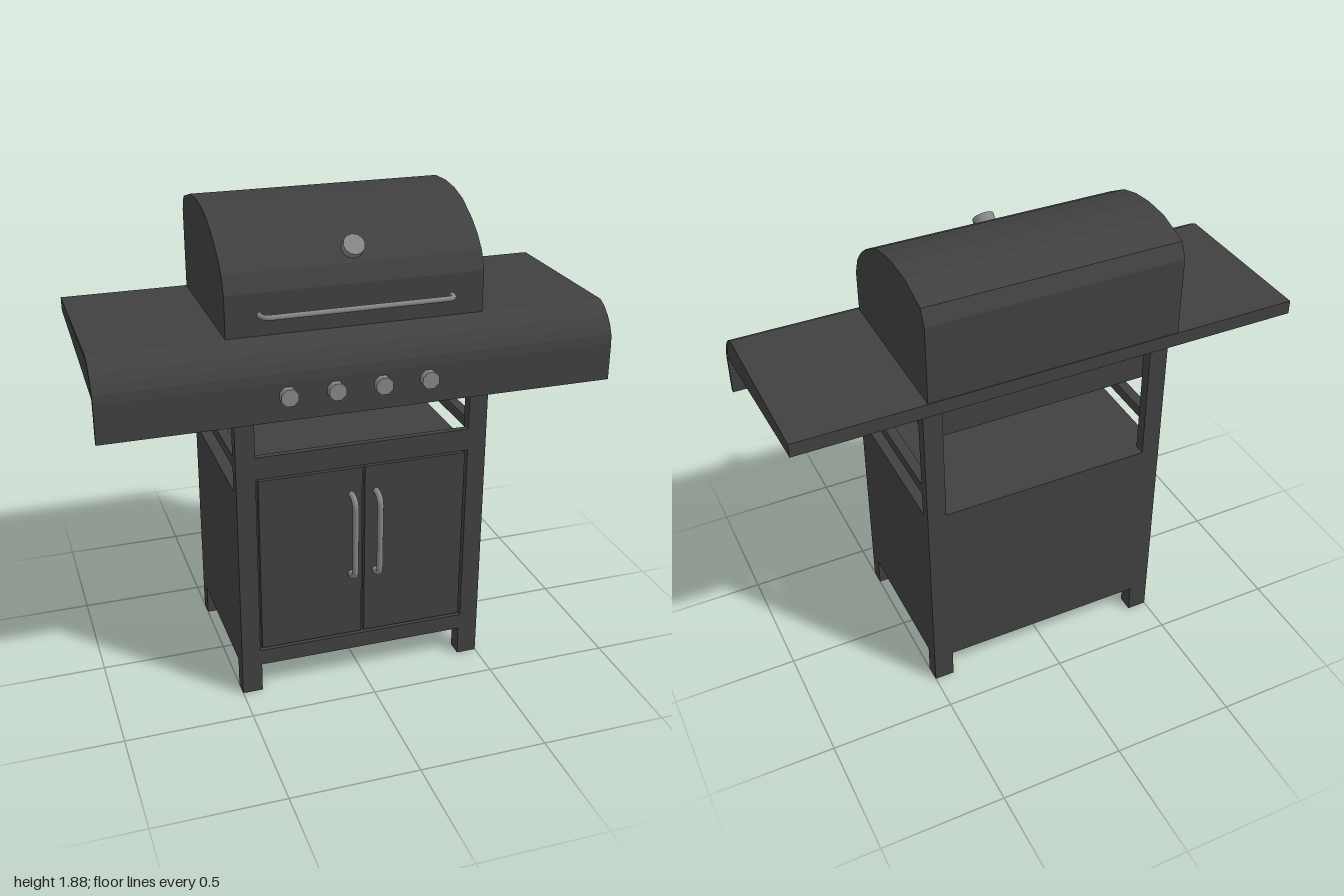
import * as THREE from 'three';
import { toCreasedNormals } from 'three/addons/utils/BufferGeometryUtils.js';

export function createModel() {
  const model = new THREE.Group();
  model.name = 'gasGrill';
  const dark = new THREE.MeshStandardMaterial({ color: 0x404040 });
  dark.name = 'charcoal enamel';
  const steel = new THREE.MeshStandardMaterial({ color: 0x878787 });
  steel.name = 'grey steel';

  function add(name, geometry, material = dark) {
    const mesh = new THREE.Mesh(geometry, material);
    mesh.name = name;
    model.add(mesh);
    return mesh;
  }
  // Box given by its limits on each axis
  function box(name, x0, x1, y0, y1, z0, z1) {
    const g = new THREE.BoxGeometry(x1 - x0, y1 - y0, z1 - z0);
    g.translate((x0 + x1) / 2, (y0 + y1) / 2, (z0 + z1) / 2);
    return add(name, g);
  }
  // Side profile of [z, y] points extruded along x from x0 to x1
  function profile(name, points, x0, x1) {
    const shape = new THREE.Shape(points.map(([z, y]) => new THREE.Vector2(z, y)));
    const g = new THREE.ExtrudeGeometry(shape, { depth: x1 - x0, bevelEnabled: false });
    g.rotateY(-Math.PI / 2).translate(x1, 0, 0);
    return add(name, toCreasedNormals(g, 0.1));
  }
  // Bent bar through straight segments with rounded corners
  function bar(name, a, b, c, d, radius, bend) {
    const [A, B, C, D] = [a, b, c, d].map((p) => new THREE.Vector3(...p));
    const toward = (p, q) => p.clone().add(q.clone().sub(p).setLength(bend));
    const path = new THREE.CurvePath();
    const b0 = toward(B, A), b1 = toward(B, C), c0 = toward(C, B), c1 = toward(C, D);
    path.add(new THREE.LineCurve3(A, b0));
    path.add(new THREE.QuadraticBezierCurve3(b0, B, b1));
    path.add(new THREE.LineCurve3(b1, c0));
    path.add(new THREE.QuadraticBezierCurve3(c0, C, c1));
    path.add(new THREE.LineCurve3(c1, D));
    add(name, new THREE.TubeGeometry(path, 60, radius, 8, false), steel);
  }

  // Legs, upper posts and side rails
  for (const s of [-1, 1]) {
    const span = (a, b) => (s > 0 ? [a, b] : [-b, -a]);
    box('frontLeg', ...span(0.42, 0.5), 0, 0.12, 0.28, 0.345);
    box('backLeg', ...span(0.42, 0.5), 0, 0.12, -0.35, -0.285);
    box('frontPost', ...span(0.425, 0.5), 1.02, 1.22, 0.3, 0.345);
    box('frontPostSide', ...span(0.425, 0.5), 0.88, 1.02, 0.3, 0.32);
    box('backPost', ...span(0.425, 0.5), 0.88, 1.45, -0.35, -0.305);
    box('sideRail', ...span(0.46, 0.5), 0.98, 1.025, -0.305, 0.32);
  }

  // Cabinet body and its front frame around the doors
  box('cabinet', -0.5, 0.5, 0.12, 0.88, -0.35, 0.32);
  const frame = new THREE.Shape();
  frame.moveTo(-0.5, 0.12).lineTo(0.5, 0.12).lineTo(0.5, 1.025).lineTo(-0.5, 1.025);
  const opening = new THREE.Path();
  opening.moveTo(-0.425, 0.185).lineTo(-0.425, 0.935).lineTo(0.425, 0.935).lineTo(0.425, 0.185);
  frame.holes.push(opening);
  const frameGeo = new THREE.ExtrudeGeometry(frame, { depth: 0.025, bevelEnabled: false });
  add('cabinetFrame', frameGeo.translate(0, 0, 0.32));

  // Doors with upright handles
  for (const s of [-1, 1]) {
    const [x0, x1] = s > 0 ? [0.006, 0.415] : [-0.415, -0.006];
    box('door', x0, x1, 0.195, 0.925, 0.318, 0.342);
    const x = s * 0.05;
    bar('doorHandle', [x, 0.47, 0.335], [x, 0.47, 0.397], [x, 0.817, 0.397], [x, 0.817, 0.335], 0.013, 0.045);
  }

  // Folded worktop: top sheet, rounded front apron and back lip
  profile('worktop', [
    [-0.41, 1.41], [-0.41, 1.465], [0.26, 1.465], [0.295, 1.447], [0.325, 1.42],
    [0.35, 1.388], [0.365, 1.355], [0.37, 1.32], [0.37, 1.17], [0.354, 1.17],
    [0.354, 1.32], [0.348, 1.35], [0.335, 1.38], [0.312, 1.41], [0.285, 1.434],
    [0.255, 1.45], [-0.395, 1.45], [-0.395, 1.41],
  ].reverse(), -1, 1);
  // Tapered skirts closing the worktop ends
  const skirt = [
    [-0.405, 1.41], [0.365, 1.335], [0.364, 1.355], [0.349, 1.388],
    [0.324, 1.419], [0.294, 1.446], [0.26, 1.464], [-0.405, 1.464],
  ];
  profile('leftSkirt', skirt, 0.985, 0.9995);
  profile('rightSkirt', skirt, -0.9995, -0.985);

  // Firebox under the lid
  box('firebox', -0.46, 0.46, 1.22, 1.455, -0.303, 0.185);

  // Domed lid
  profile('lid', [
    [0.255, 1.46], [0.255, 1.627], [0.227, 1.697], [0.18, 1.75], [0.125, 1.793],
    [0.03, 1.846], [-0.055, 1.87], [-0.145, 1.88], [-0.25, 1.875], [-0.38, 1.836],
    [-0.407, 1.776], [-0.407, 1.46],
  ].reverse(), -0.5, 0.5);
  bar('lidHandle', [-0.372, 1.545, 0.25], [-0.372, 1.545, 0.298], [0.372, 1.545, 0.298], [0.372, 1.545, 0.25], 0.011, 0.035);

  // Thermometer on the lid slope
  const dial = add('thermometer', new THREE.CylinderGeometry(0.042, 0.042, 0.045, 12), steel);
  dial.position.set(0, 1.747, 0.196);
  dial.rotation.x = 0.87;

  // Burner knobs: base disc and grip
  for (let i = 0; i < 4; i++) {
    const x = -0.302 + i * 0.181;
    const base = new THREE.CylinderGeometry(0.035, 0.035, 0.034, 8);
    base.rotateY(Math.PI / 8).rotateX(Math.PI / 2);
    add('knob', base.translate(x, 1.27, 0.383), steel);
    const shaft = new THREE.CylinderGeometry(0.02, 0.02, 0.03, 8).rotateX(Math.PI / 2);
    add('knobShaft', shaft.translate(x, 1.27, 0.36), steel);
  }
  return model;
}
